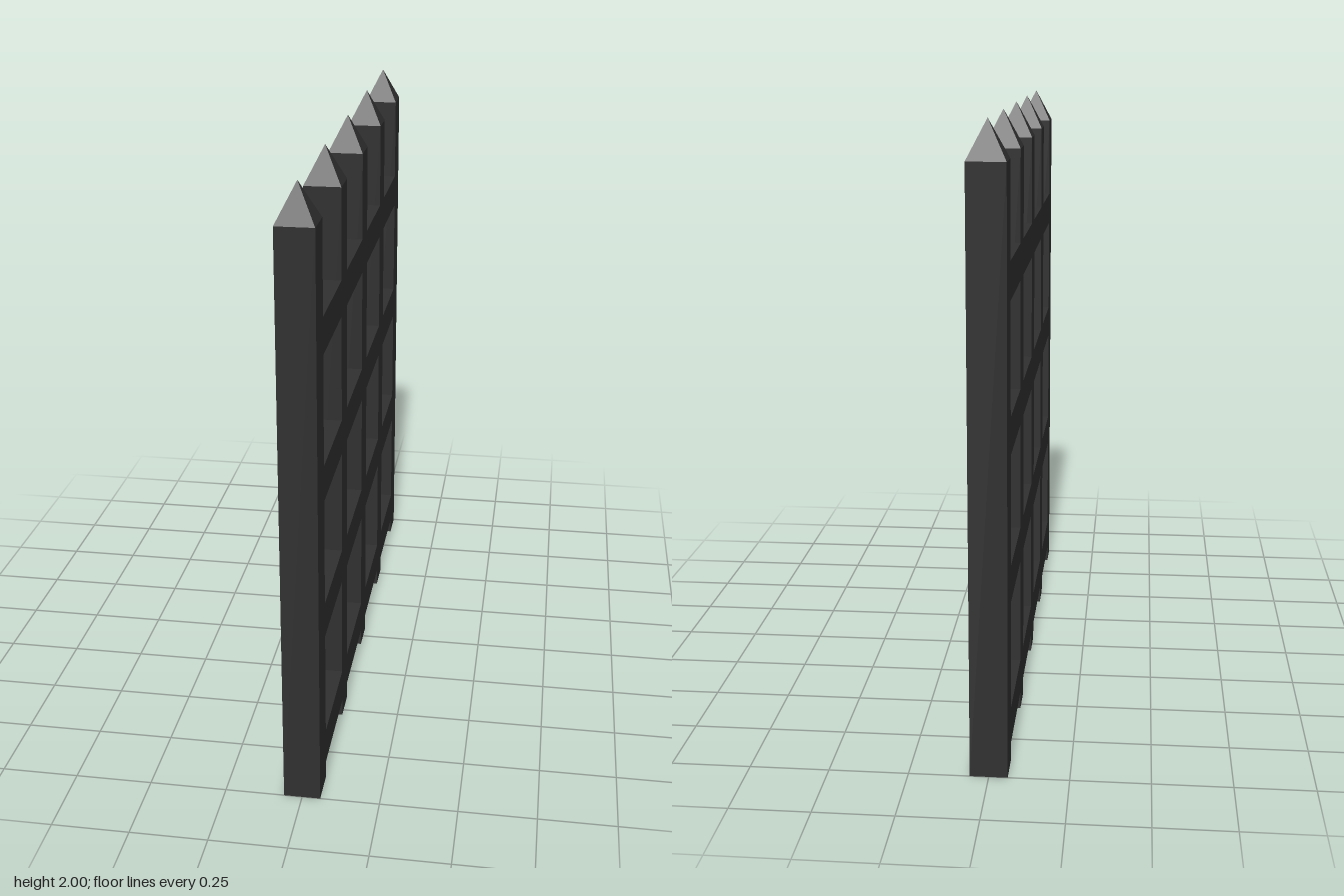
import * as THREE from 'three';

export function createModel() {
  const group = new THREE.Group();
  const iron = new THREE.MeshStandardMaterial({ color: 0x303030, flatShading: true });
  iron.name = 'darkIron';

  const W = 2 / 17;        // bar thickness
  const STEP = 4 * W;      // spacing of uprights and rails
  const SHAFT = 2 - W;     // upright height below its point

  const shaftGeo = new THREE.BoxGeometry(W, SHAFT, W);
  const railGeo = new THREE.BoxGeometry(W, W, STEP - W);
  // four-sided point, turned square to the bar
  const pointGeo = new THREE.ConeGeometry(W / Math.SQRT2, W, 4, 1, true).rotateY(Math.PI / 4);

  const add = (name, geo, y, z) => {
    const mesh = new THREE.Mesh(geo, iron);
    mesh.name = name;
    mesh.position.set(0, y, z);
    group.add(mesh);
  };

  // five pointed uprights
  for (let i = -2; i <= 2; i++) {
    add('upright', shaftGeo, SHAFT / 2, i * STEP);
    add('point', pointGeo, 2 - W / 2, i * STEP);
  }

  // four rails, each in sections between neighbouring uprights
  for (let row = 0; row < 4; row++) {
    for (let bay = -1.5; bay <= 1.5; bay++) {
      add('railSection', railGeo, W + row * STEP, bay * STEP);
    }
  }

  return group;
}
